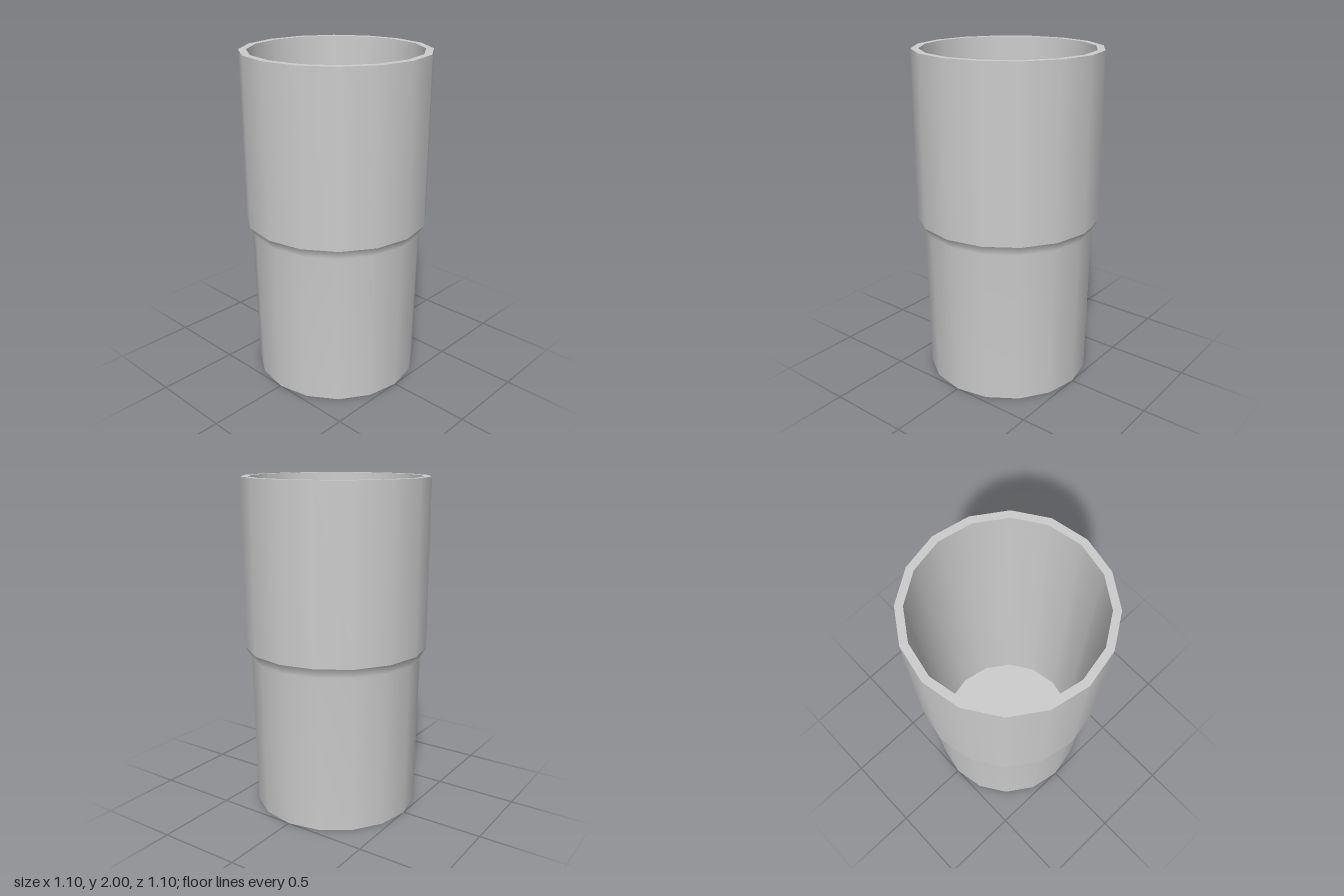
import * as THREE from 'three';

const SIDES = 16;

export function createModel() {
  const group = new THREE.Group();
  group.name = 'steppedCup';
  const material = new THREE.MeshStandardMaterial({ color: 0xcccccc });

  // Each section is its own lathe, so normals are smooth within it and sharp between sections
  const addLathe = (name, profile) => {
    const points = profile.map(([r, y]) => new THREE.Vector2(r, y));
    const mesh = new THREE.Mesh(new THREE.LatheGeometry(points, SIDES), material);
    mesh.name = name;
    group.add(mesh);
  };

  // Profiles run from the base centre, up the outside, over the rim and down the inside
  addLathe('base', [[0, 0], [0.5, 0]]);
  addLathe('lowerBodyAndShoulder', [[0.5, 0], [0.515, 0.94], [0.55, 1]]);
  addLathe('upperSleeve', [[0.55, 1], [0.55, 2]]);
  addLathe('rim', [[0.55, 2], [0.506, 2]]);
  addLathe('innerWall', [[0.506, 2], [0.465, 0.05]]);
  addLathe('innerFloor', [[0.465, 0.05], [0, 0.05]]);

  return group;
}
